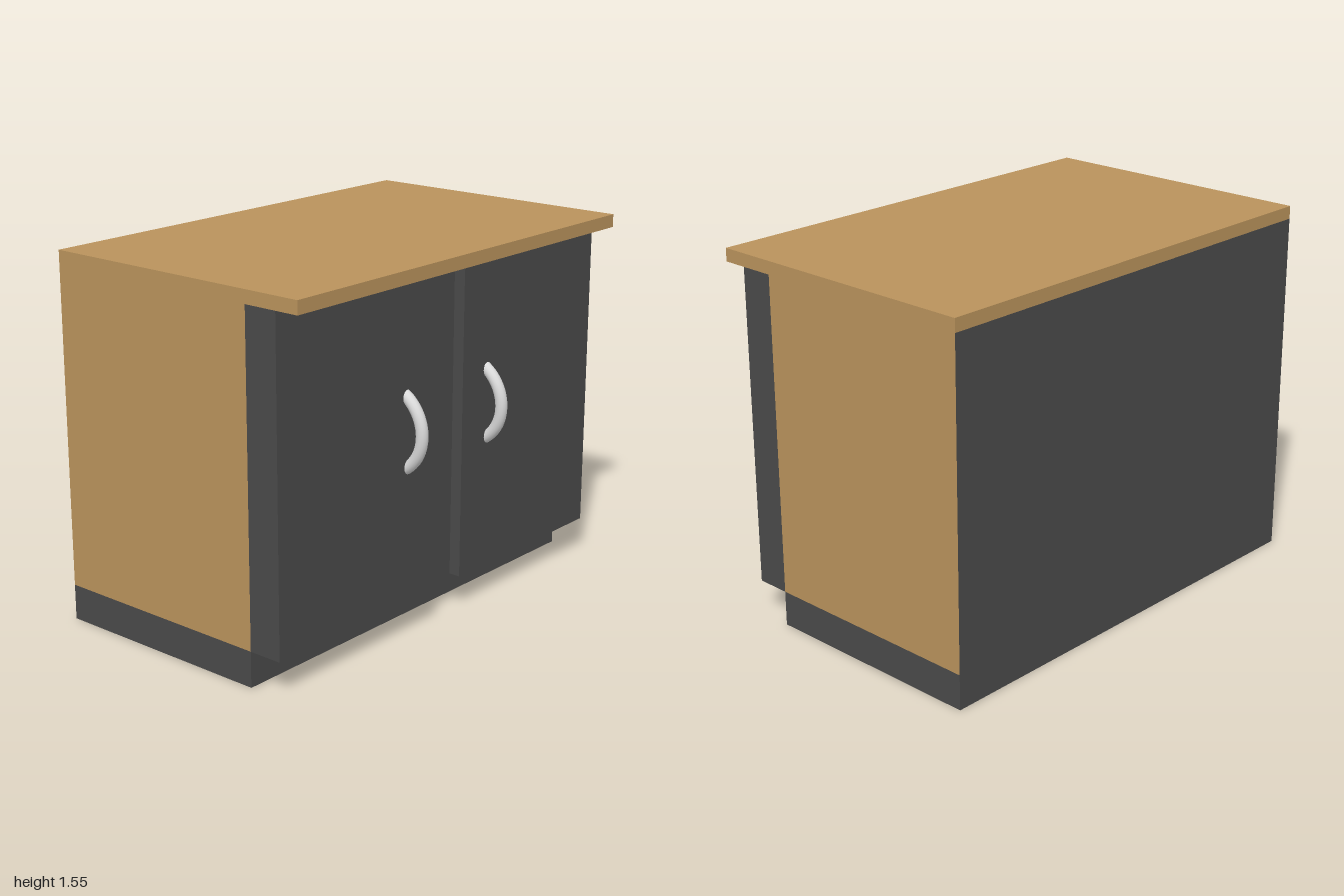
import * as THREE from 'three';

export function createModel() {
  const group = new THREE.Group();
  group.name = 'cabinet';

  const mat = (name, color) => {
    const m = new THREE.MeshStandardMaterial({ color });
    m.name = name;
    return m;
  };
  const wood = mat('wood', 0xba935c);
  const dark = mat('darkPanel', 0x4a4a4a);
  const metal = mat('handleMetal', 0xdcdcdc);

  // Box given by its min and max corners
  const box = (name, material, [x0, y0, z0], [x1, y1, z1]) => {
    const mesh = new THREE.Mesh(new THREE.BoxGeometry(x1 - x0, y1 - y0, z1 - z0), material);
    mesh.position.set((x0 + x1) / 2, (y0 + y1) / 2, (z0 + z1) / 2);
    mesh.name = name;
    group.add(mesh);
  };

  const back = -0.625, front = 0.372, doorFace = 0.52;

  // Plinth, carcass with wooden ends, and overhanging worktop
  box('plinth', dark, [back, 0, -1], [front, 0.15, 1]);
  box('carcass', [dark, dark, dark, dark, wood, wood], [back, 0.15, -1], [front, 1.5, 1]);
  box('worktop', wood, [back, 1.5, -1], [0.625, 1.555, 1]);

  // Two doors with a recessed post between them
  box('leftDoor', dark, [front, 0.15, 0.1], [doorFace, 1.5, 1]);
  box('rightDoor', dark, [front, 0.15, -1], [doorFace, 1.5, -0.1]);
  box('centrePost', dark, [front, 0.15, -0.1], [0.47, 1.5, 0.1]);

  // Bowed handles, ends sunk into the doors
  const arc = THREE.MathUtils.degToRad(144);
  const handleGeo = new THREE.TorusGeometry(0.183, 0.025, 16, 32, arc).rotateZ(-arc / 2);
  for (const [name, z] of [['leftHandle', 0.25], ['rightHandle', -0.27]]) {
    const handle = new THREE.Mesh(handleGeo, metal);
    handle.position.set(0.408, 0.867, z);
    handle.rotation.x = 0.037;
    handle.name = name;
    group.add(handle);
  }

  return group;
}
